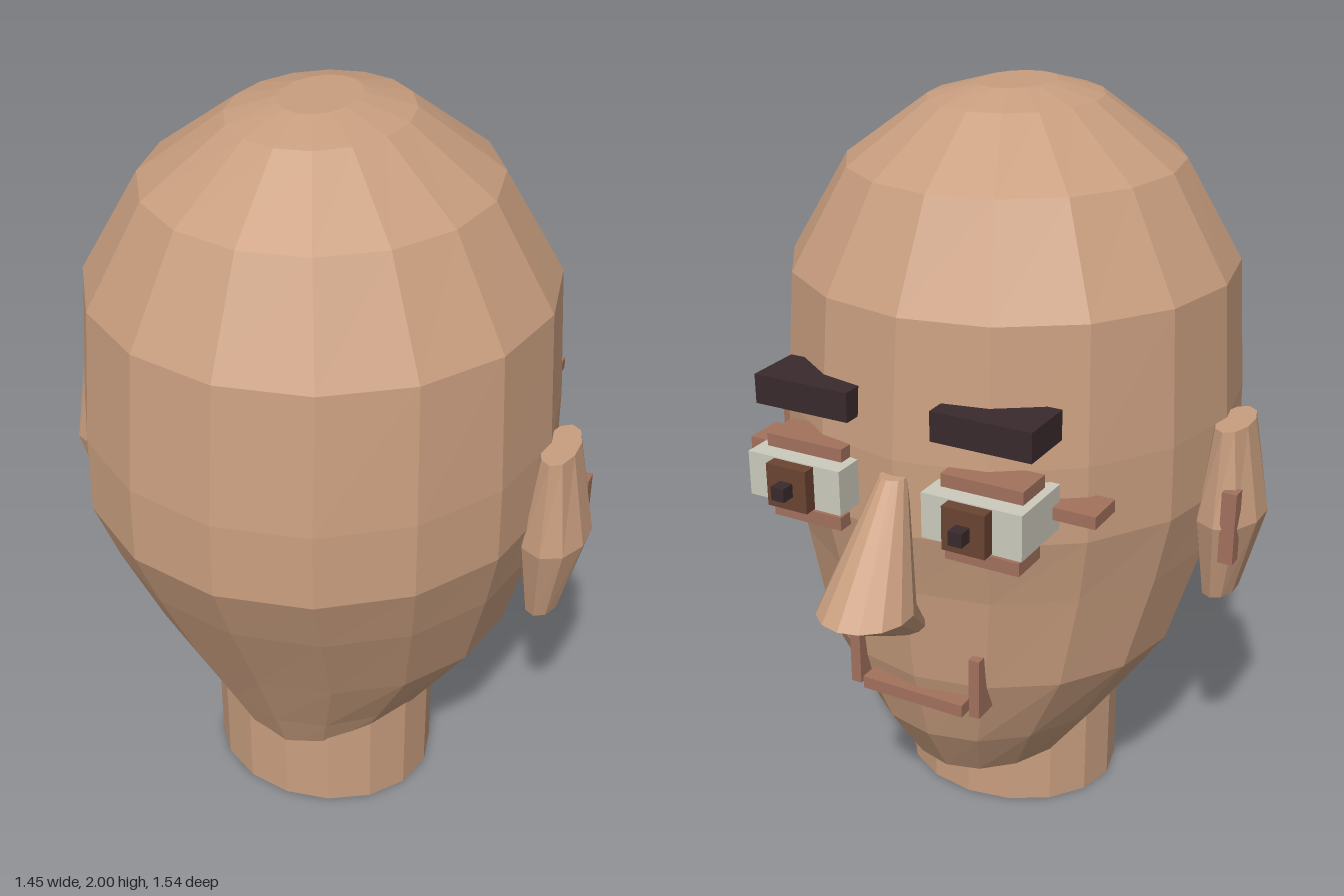
import * as THREE from 'three';

const mat = (name, color) => {
  const m = new THREE.MeshStandardMaterial({ color });
  m.name = name;
  return m;
};

// Faceted loft through horizontal ellipses, listed bottom to top: [y, cx, cz, rx, rz]
function loft(rings, sides) {
  const pos = [];
  const point = ([y, cx, cz, rx, rz], i) => {
    const a = (i / sides) * Math.PI * 2;
    return [cx + Math.sin(a) * rx, y, cz + Math.cos(a) * rz];
  };
  const tri = (...pts) => pts.forEach((p) => pos.push(...p));
  const first = rings[0], last = rings[rings.length - 1];
  for (let i = 0; i < sides; i++) {
    for (let r = 0; r < rings.length - 1; r++) {
      const a = point(rings[r], i), b = point(rings[r], i + 1);
      const c = point(rings[r + 1], i + 1), d = point(rings[r + 1], i);
      tri(a, b, c);
      tri(a, c, d);
    }
    tri([first[1], first[0], first[2]], point(first, i + 1), point(first, i));
    tri([last[1], last[0], last[2]], point(last, i), point(last, i + 1));
  }
  const g = new THREE.BufferGeometry();
  g.setAttribute('position', new THREE.Float32BufferAttribute(pos, 3));
  g.computeVertexNormals();
  return g;
}

export function createModel() {
  const model = new THREE.Group();
  model.name = 'head';
  const skin = mat('skin', 0xc99e7f);
  const flesh = mat('flesh', 0xa3725d);
  const dark = mat('darkBrown', 0x3a2a2d);
  const white = mat('eyeWhite', 0xcdcbbd);
  const brown = mat('irisBrown', 0x6b4432);

  const add = (name, geometry, material) => {
    const m = new THREE.Mesh(geometry, material);
    m.name = name;
    model.add(m);
    return m;
  };
  // Box from its minimum and maximum on each axis, mirrored in x by side
  const box = (name, material, [x0, x1], [y0, y1], [z0, z1], side = 1) =>
    add(name, new THREE.BoxGeometry(x1 - x0, y1 - y0, z1 - z0), material)
      .position.set((side * (x0 + x1)) / 2, (y0 + y1) / 2, (z0 + z1) / 2);

  // Skull: [y, half width, back z, face z]
  const skull = [
    [0.17, 0.24, 0.39, -0.27],
    [0.33, 0.35, 0.46, -0.365],
    [0.55, 0.5, 0.56, -0.43],
    [0.82, 0.575, 0.69, -0.465],
    [1.0, 0.615, 0.768, -0.505],
    [1.2, 0.612, 0.764, -0.505],
    [1.55, 0.59, 0.722, -0.47],
    [1.81, 0.435, 0.585, -0.33],
    [1.965, 0.22, 0.385, -0.13],
    [2.0, 0.095, 0.26, 0.0],
  ].map(([y, rx, back, face]) => [y, 0, (back + face) / 2, rx, (back - face) / 2]);
  add('skull', loft(skull, 16), skin);
  add('neck', loft([[0, 0, 0.13, 0.315, 0.275], [0.5, 0, 0.13, 0.315, 0.275]], 16), skin);

  // Nose: narrow bridge, wide ball, tucked underside
  add('nose', loft([
    [0.753, 0, -0.505, 0.075, 0.065],
    [0.86, 0, -0.64, 0.12, 0.127],
    [1.16, 0, -0.5, 0.035, 0.035],
  ], 14), skin);

  for (const side of [1, -1]) {
    const label = side > 0 ? 'left' : 'right';
    add(label + 'Ear', loft([
      [0.715, side * 0.625, 0.13, 0.045, 0.08],
      [0.945, side * 0.64, 0.13, 0.09, 0.135],
      [1.2, side * 0.637, 0.13, 0.045, 0.1],
    ], 10), skin);
    box(label + 'EarFold', flesh, [0.655, 0.695], [0.85, 1.05], [0.005, 0.045], side);

    // Eye and its surroundings
    box(label + 'Brow', dark, [0.115, 0.383], [1.28, 1.357], [-0.52, -0.365], side);
    box(label + 'Eyeball', white, [0.115, 0.383], [1.05, 1.168], [-0.565, -0.37], side);
    box(label + 'Iris', brown, [0.19, 0.305], [1.052, 1.165], [-0.6, -0.56], side);
    box(label + 'Pupil', dark, [0.229, 0.266], [1.09, 1.126], [-0.638, -0.6], side);
    box(label + 'UpperLid', flesh, [0.14, 0.36], [1.166, 1.202], [-0.515, -0.405], side);
    box(label + 'LowerLid', flesh, [0.15, 0.35], [0.978, 1.014], [-0.515, -0.405], side);
    box(label + 'EyeCorner', flesh, [0.34, 0.495], [1.09, 1.123], [-0.408, -0.298], side);

    box(label + 'MouthCrease', flesh, [0.165, 0.195], [0.48, 0.65], [-0.432, -0.36], side);
  }
  box('mouth', flesh, [-0.15, 0.15], [0.477, 0.512], [-0.443, -0.362]);

  return model;
}
